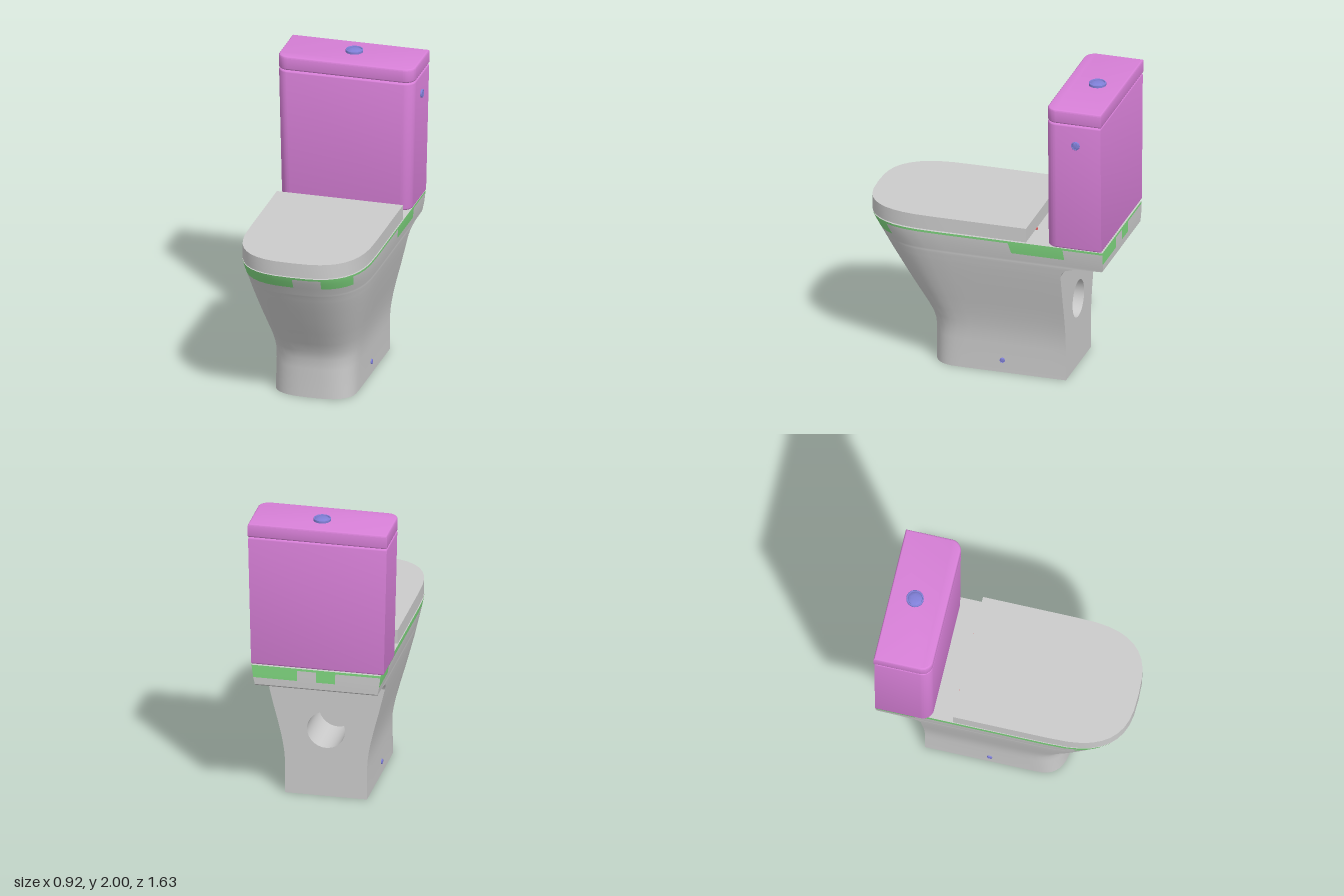
import * as THREE from 'three';
import { toCreasedNormals } from 'three/addons/utils/BufferGeometryUtils.js';

const mat = (color, side = THREE.FrontSide) => new THREE.MeshStandardMaterial({ color, side });
const grey = mat(0xcccccc), pink = mat(0xd880d8), green = mat(0x80d880), blue = mat(0x8080d8), red = mat(0xd86060);

function add(parent, name, geometry, material, x = 0, y = 0, z = 0) {
  const mesh = new THREE.Mesh(geometry, material);
  mesh.name = name;
  mesh.position.set(x, y, z);
  parent.add(mesh);
  return mesh;
}

// Pedestal cross-sections: height, half width, front z, back z
const BACK = -0.525;
const rows = [
  [0, 0.268, 0.39, BACK], [0.2, 0.268, 0.392, BACK], [0.27, 0.272, 0.397, BACK],
  [0.33, 0.28, 0.417, BACK], [0.4, 0.293, 0.458, BACK], [0.5, 0.317, 0.523, BACK],
  [0.6, 0.343, 0.585, BACK], [0.7, 0.367, 0.645, BACK], [0.78, 0.386, 0.693, BACK],
  [0.805, 0.391, 0.707, -0.535], [0.83, 0.396, 0.721, -0.56], [0.845, 0.399, 0.73, -0.61],
  [0.853, 0.4, 0.735, -0.66], [0.857, 0.4, 0.737, -0.805], [0.867, 0.402, 0.742, -0.815],
  [0.915, 0.412, 0.769, -0.817], [0.96, 0.418, 0.794, -0.817], [0.985, 0.421, 0.806, -0.817],
  [1.0, 0.422, 0.812, -0.817],
];
const sideSteps = [0, 0.24, 0.57, 0.8], backSteps = [-0.3, 0, 0.3], ARC = 20;

// Plan outline: left side, rounded front, right side, then the straight back
function outline([y, w, front, back]) {
  const depth = 0.2 + 0.31 * Math.min(1, Math.max(0, (y - 0.1) / 0.75));
  const start = front - depth, e = 2 / 2.85, pts = [];
  for (const t of sideSteps) pts.push([w, back + (start - back) * t]);
  for (let i = 0; i <= ARC; i++) {
    const a = (i / ARC) * Math.PI, c = Math.cos(a);
    pts.push([w * Math.sign(c) * Math.abs(c) ** e, start + depth * Math.abs(Math.sin(a)) ** e]);
  }
  for (const t of [...sideSteps].reverse()) pts.push([-w, back + (start - back) * t]);
  for (const t of backSteps) pts.push([w * t, back]);
  return pts;
}

// Which areas just under the rim are coloured
function isGreen(x, y, z) {
  if (y > 0.985) return true;
  if (y < 0.915) return false;
  if (z < -0.81) return x > 0.12 || (x < 0 && x > -0.13);
  if (z > 0.5) return (x < 0 && x > -0.4) || (x > 0.18 && x < 0.35);
  if (x > 0) return z > -0.55 && z < -0.18;
  return z < -0.55 || y > 0.96;
}

function buildBody(parent) {
  const loops = rows.map(outline), n = loops[0].length;
  const pos = loops.flatMap((loop, r) => loop.flatMap(([x, z]) => [x, rows[r][0], z]));
  const parts = [[], []];
  const firstBack = n - backSteps.length - 1;
  for (let r = 0; r < rows.length - 1; r++) {
    for (let i = 0; i < n; i++) {
      // the flat rear wall is made separately
      if (i >= firstBack && rows[r + 1][0] <= 0.78) continue;
      const j = (i + 1) % n, a = r * n + i, b = r * n + j, c = b + n, d = a + n;
      const mid = [0, 1, 2].map((k) => (pos[a * 3 + k] + pos[b * 3 + k] + pos[c * 3 + k] + pos[d * 3 + k]) / 4);
      parts[isGreen(...mid) ? 1 : 0].push(a, d, c, a, c, b);
    }
  }
  const whole = new THREE.BufferGeometry();
  whole.setAttribute('position', new THREE.Float32BufferAttribute(pos, 3));
  whole.setIndex([...parts[0], ...parts[1]]);
  const smooth = toCreasedNormals(whole, 0.7);
  const cut = parts[0].length * 3;
  const slice = (from, to) => {
    const g = new THREE.BufferGeometry();
    for (const key of ['position', 'normal'])
      g.setAttribute(key, new THREE.BufferAttribute(smooth.attributes[key].array.slice(from, to), 3));
    return g;
  };
  add(parent, 'pedestal', slice(0, cut), grey);
  add(parent, 'rimPatches', slice(cut, undefined), green);

  // Top deck and underside
  const plan = (loop, s) => new THREE.Shape(loop.map(([x, z]) => new THREE.Vector2(x, s * z)));
  add(parent, 'deck', new THREE.ShapeGeometry(plan(loops[loops.length - 1], -1)).rotateX(-Math.PI / 2), grey, 0, 1, 0);
  add(parent, 'underside', new THREE.ShapeGeometry(plan(loops[0], 1)).rotateX(Math.PI / 2), grey);

  // Rear wall with the round outlet
  const low = rows.filter((r) => r[0] <= 0.78);
  const wall = new THREE.Shape([
    ...low.map((r) => new THREE.Vector2(r[1], r[0])),
    ...[...low].reverse().map((r) => new THREE.Vector2(-r[1], r[0])),
  ]);
  const R = 0.125, holeY = 0.46, depth = 0.35;
  wall.holes.push(new THREE.Path().absarc(0, holeY, R, 0, Math.PI * 2, true));
  add(parent, 'rearWall', new THREE.ShapeGeometry(wall, 20).rotateY(Math.PI), grey, 0, 0, BACK);
  const pipe = new THREE.CylinderGeometry(R, R, depth, 40, 1, true).rotateX(Math.PI / 2);
  add(parent, 'outletPipe', pipe, mat(0xcccccc, THREE.DoubleSide), 0, holeY, BACK + depth / 2);
  add(parent, 'outletEnd', new THREE.CircleGeometry(R, 40).rotateY(Math.PI), grey, 0, holeY, BACK + depth);
}

// Upright block with rounded front corners and softened edges
function block(w, front, back, height, r, bevel) {
  const x = w - bevel, f = -front + bevel, b = -back - bevel;
  const s = new THREE.Shape();
  s.moveTo(x, b);
  s.lineTo(-x, b);
  s.lineTo(-x, f + r);
  s.absarc(-x + r, f + r, r, Math.PI, Math.PI * 1.5);
  s.absarc(x - r, f + r, r, Math.PI * 1.5, Math.PI * 2);
  s.closePath();
  const g = new THREE.ExtrudeGeometry(s, {
    depth: height - 2 * bevel, bevelThickness: bevel, bevelSize: bevel, bevelSegments: 3, curveSegments: 8,
  });
  return g.translate(0, 0, bevel).rotateX(-Math.PI / 2);
}

// Push button: collar ring with a shallow dome
function button(r, h) {
  const p = [[0, 0], [r, 0], [r, h * 0.75], [r * 0.95, h * 0.9], [r * 0.84, h * 0.9], [r * 0.8, h * 0.6],
    [r * 0.72, h * 0.8], [r * 0.4, h * 0.96], [0, h]];
  return toCreasedNormals(new THREE.LatheGeometry(p.map(([x, y]) => new THREE.Vector2(x, y)), 32), 0.6);
}

export function createModel() {
  const model = new THREE.Group();
  model.name = 'toilet';

  const base = new THREE.Group();
  base.name = 'base';
  base.position.x = 0.004;
  model.add(base);
  buildBody(base);

  // Seat cover follows the rim outline, cut straight at the hinge
  const rim = outline([1, 0.42, 0.815, -0.305]).slice(0, -backSteps.length);
  const seat = new THREE.ExtrudeGeometry(
    new THREE.Shape(rim.map(([x, z]) => new THREE.Vector2(x, -z))), { depth: 0.095, bevelEnabled: false });
  add(base, 'seatCover', toCreasedNormals(seat.rotateX(-Math.PI / 2), 0.6), grey, 0, 1.008, 0);

  for (const s of [-1, 1]) {
    add(base, 'hingePin', new THREE.CylinderGeometry(0.012, 0.012, 0.012, 16), red, s * 0.195, 1.006, -0.302);
    add(base, 'boltCap', button(0.017, 0.012).rotateZ(-s * Math.PI / 2), blue, s * 0.265, 0.085, -0.1);
  }

  // Cistern, widening towards the top
  const tankGroup = new THREE.Group();
  tankGroup.name = 'cistern';
  tankGroup.position.x = -0.004;
  model.add(tankGroup);
  const tank = block(0.455, -0.442, -0.812, 0.88, 0.06, 0.012);
  const p = tank.attributes.position;
  for (let i = 0; i < p.count; i++) p.setX(i, p.getX(i) * (0.955 + 0.045 * Math.min(1, p.getY(i) / 0.88)));
  add(tankGroup, 'tank', toCreasedNormals(tank, 0.6), pink, 0, 1.003, 0);
  add(tankGroup, 'tankLid', toCreasedNormals(block(0.456, -0.442, -0.817, 0.093, 0.06, 0.012), 0.6), pink, 0, 1.887, 0);
  add(tankGroup, 'flushButton', button(0.056, 0.022), blue, 0.004, 1.978, -0.652);
  add(tankGroup, 'sideButton', button(0.028, 0.014).rotateZ(-Math.PI / 2), blue, 0.45, 1.745, -0.645);
  return model;
}
